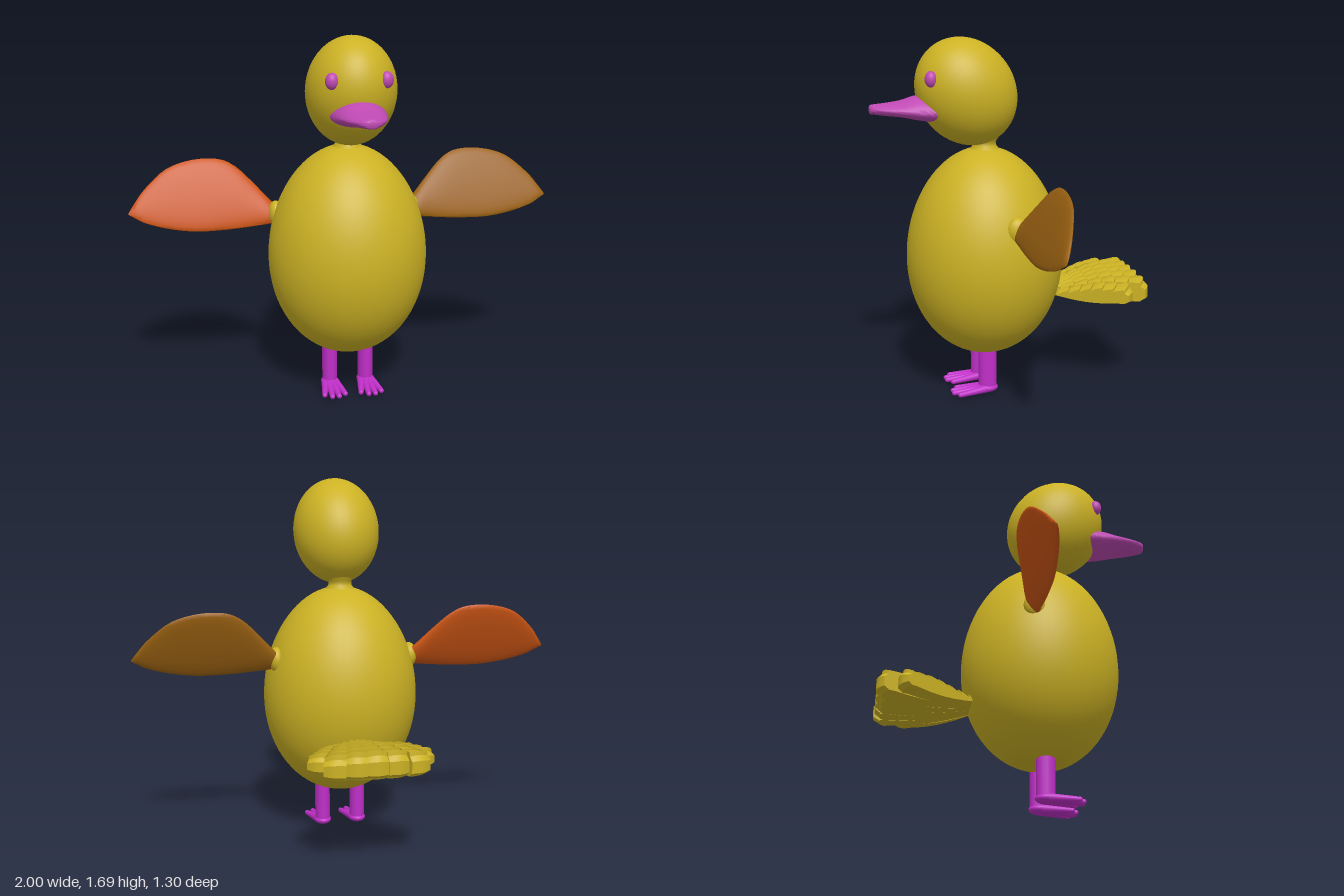
import * as THREE from 'three';
import { toCreasedNormals } from 'three/addons/utils/BufferGeometryUtils.js';

const mat = (color) => new THREE.MeshStandardMaterial({ color, roughness: 0.8 });
const lerp = THREE.MathUtils.lerp;

// Skin over closed rings of [x, y, z] points; faces are turned outward by the sign of the volume.
function loft(rings, crease = 0.7) {
  const n = rings[0].length, pos = rings.flat(2), tris = [];
  for (let r = 0; r < rings.length - 1; r++) {
    for (let i = 0; i < n; i++) {
      const a = r * n + i, b = r * n + (i + 1) % n;
      tris.push([a, b, b + n], [a, b + n, a + n]);
    }
  }
  const p = (i) => new THREE.Vector3().fromArray(pos, i * 3);
  const o = p(0);
  const at = (i) => p(i).sub(o);
  const volume = tris.reduce((s, [a, b, c]) => s + at(a).dot(at(b).cross(at(c))), 0);
  const g = new THREE.BufferGeometry();
  g.setAttribute('position', new THREE.Float32BufferAttribute(pos, 3));
  g.setIndex(tris.flatMap(([a, b, c]) => (volume < 0 ? [a, c, b] : [a, b, c])));
  return toCreasedNormals(g, crease);
}

// Smooth samples along a few control sections (arrays of equal length)
function samples(sections, count) {
  const n = sections.length;
  const curves = sections[0].map((_, k) =>
    new THREE.CatmullRomCurve3(sections.map((s, i) => new THREE.Vector3(i, s[k], 0)), false, 'centripetal'));
  return Array.from({ length: count + 1 }, (_, i) => curves.map((c) => c.getPoint(i / count).y)).slice(0, n * count);
}

// Wing: x, bottom edge, top edge, thickness
function wingGeometry(side) {
  const sections = [
    [0.30, 0.82, 0.87, 0.0], [0.345, 0.805, 0.905, 0.05], [0.42, 0.797, 0.985, 0.05],
    [0.50, 0.79, 1.06, 0.05], [0.58, 0.786, 1.095, 0.048], [0.70, 0.786, 1.095, 0.042],
    [0.82, 0.803, 1.06, 0.036], [0.92, 0.83, 0.98, 0.028], [0.97, 0.855, 0.92, 0.02], [1.0, 0.872, 0.878, 0.0]];
  return loft(samples(sections, 36).map(([x, lo, hi, t]) =>
    Array.from({ length: 24 }, (_, i) => {
      const a = (i / 24) * Math.PI * 2;
      const y = (lo + hi) / 2 + Math.cos(a) * (hi - lo) / 2;
      return [side * x, y, 0.045 - 0.43 * (y - 0.8) + Math.sin(a) * Math.max(t, 0) / 2];
    })));
}

// Beak: z, half width, ridge height, underside height, mouth corner height
function beakGeometry() {
  const sections = [
    [0.33, 0.125, 1.42, 1.31, 1.36], [0.37, 0.125, 1.43, 1.31, 1.36], [0.43, 0.115, 1.43, 1.32, 1.362],
    [0.50, 0.10, 1.41, 1.335, 1.368], [0.57, 0.078, 1.40, 1.343, 1.373], [0.62, 0.052, 1.396, 1.35, 1.375],
    [0.64, 0.028, 1.392, 1.353, 1.375], [0.646, 0.0, 1.376, 1.374, 1.375]];
  return loft(samples(sections, 30).map(([z, w, hi, lo, mid]) =>
    Array.from({ length: 32 }, (_, i) => {
      const a = (i / 32) * Math.PI * 2, s = Math.sin(a);
      return [Math.cos(a) * w, mid + (s > 0 ? (hi - mid) * s ** 1.3 : (mid - lo) * s), z];
    })), 0.9);
}

// Tail: a fan of feather columns, each stepped into overlapping rows
function tailGeometry() {
  const columns = 7, rows = 7, seg = 4, spread = 0.57;
  const ring = (v, step, squeeze = 0) => {
    const top = [], bottom = [];
    for (let c = 0; c < columns; c++) {
      const mid = Math.abs((c + 0.5) / columns * 2 - 1);
      const reach = mid > 0.8 ? 0.545 : 0.58 / Math.cos(mid * spread);
      for (let i = 0; i <= seg; i++) {
        const u = (c + i / seg) / columns * 2 - 1, a = u * spread;
        const bump = Math.sin((i / seg) * Math.PI);
        const r = lerp(0.13, reach, v) + 0.012 * v * (bump - 1);
        const hi = lerp(0.485, 0.535, Math.min(1, v * 1.6)) + 0.013 * step + 0.009 * bump - 0.03 * u * u;
        const lo = 0.45 - 0.028 * Math.sin(Math.min(1, v * 1.15) * Math.PI * 0.75) + 0.02 * u * u;
        const x = Math.sin(a) * r, z = -0.065 - Math.cos(a) * r;
        top.push([x, lerp(hi, 0.475, squeeze), z]);
        bottom.unshift([x, lerp(lo, 0.475, squeeze), z]);
      }
    }
    return [...top, ...bottom];
  };
  const rings = [ring(0, 0, 1)];
  for (let k = 0; k < rows; k++) {
    rings.push(ring(k / rows * 0.95, 0), ring((k + 0.5) / rows * 0.95, 0.6), ring((k + 1) / rows * 0.95, 1));
  }
  rings.push(ring(0.955, 0, 0.1), ring(1, 0, 0.45), ring(1, 0, 1));
  return loft(rings, 0.5);
}

// Tapered rod between two points
function rod(from, to, r0, r1) {
  const a = new THREE.Vector3(...from), b = new THREE.Vector3(...to);
  const d = b.clone().sub(a);
  const g = new THREE.CylinderGeometry(r1, r0, d.length(), 16);
  g.applyQuaternion(new THREE.Quaternion().setFromUnitVectors(new THREE.Vector3(0, 1, 0), d.normalize()));
  return g.translate(...a.add(b).multiplyScalar(0.5).toArray());
}

export function createModel() {
  const model = new THREE.Group();
  const yellow = mat(0xccb224), pink = mat(0xc04ab4), violet = mat(0xc02fc8);
  const add = (name, geometry, material, parent = model) => {
    const mesh = new THREE.Mesh(geometry, material);
    mesh.name = name;
    parent.add(mesh);
    return mesh;
  };
  const ball = (name, material, position, scale, parent) => {
    const mesh = add(name, new THREE.SphereGeometry(1, 40, 28), material, parent);
    mesh.position.set(...position);
    mesh.scale.set(...scale);
    return mesh;
  };

  // Egg-shaped body, a little fuller below the middle
  const egg = [];
  for (let i = 0; i <= 40; i++) {
    const a = (i / 40) * Math.PI;
    egg.push(new THREE.Vector2(0.369 * Math.sin(a) * (1 + 0.05 * Math.cos(a)), 0.685 - 0.498 * Math.cos(a)));
  }
  add('body', new THREE.LatheGeometry(egg, 56), yellow).position.z = 0.112;

  // Neck and tilted head
  const neck = [[0.11, 1.14], [0.07, 1.17], [0.055, 1.19], [0.055, 1.21], [0.08, 1.25]];
  add('neck', new THREE.LatheGeometry(neck.map((p) => new THREE.Vector2(...p)), 32), yellow).position.z = 0.11;
  ball('head', yellow, [0, 1.442, 0.195], [0.205, 0.26, 0.227]).rotation.x = 0.61;
  add('beak', beakGeometry(), pink);
  add('tail', tailGeometry(), yellow);

  for (const side of [1, -1]) {
    const label = side > 0 ? 'left' : 'right';
    ball(label + 'Eye', pink, [side * 0.12, 1.515, 0.38], [0.03, 0.037, 0.028]);
    add(label + 'Wing', wingGeometry(side), mat(side > 0 ? 0x9c6212 : 0xcc5514));
    ball(label + 'Shoulder', yellow, [side * 0.325, 0.85, 0.035], [0.035, 0.06, 0.05]);

    // Leg with a flat foot and four spread toes
    const leg = new THREE.Group();
    leg.name = label + 'Leg';
    leg.position.set(side * 0.087, 0, 0);
    model.add(leg);
    add('shin', rod([0, 0.02, 0.12], [0, 0.28, 0.12], 0.036, 0.036).translate(0, 0, -0.12).scale(1, 1, 1.22).translate(0, 0, 0.12), violet, leg);
    ball('foot', violet, [0, 0.024, 0.125], [0.042, 0.024, 0.055], leg);
    for (let t = 0; t < 4; t++) {
      const s = (t - 1.5) / 1.5;
      const tip = [s * 0.049, 0.014, 0.298 - 0.035 * Math.abs(s)];
      add('toe', rod([s * 0.022, 0.024, 0.13], tip, 0.02, 0.012), violet, leg);
      ball('toeTip', violet, tip, [0.012, 0.012, 0.012], leg);
    }
  }
  return model;
}
